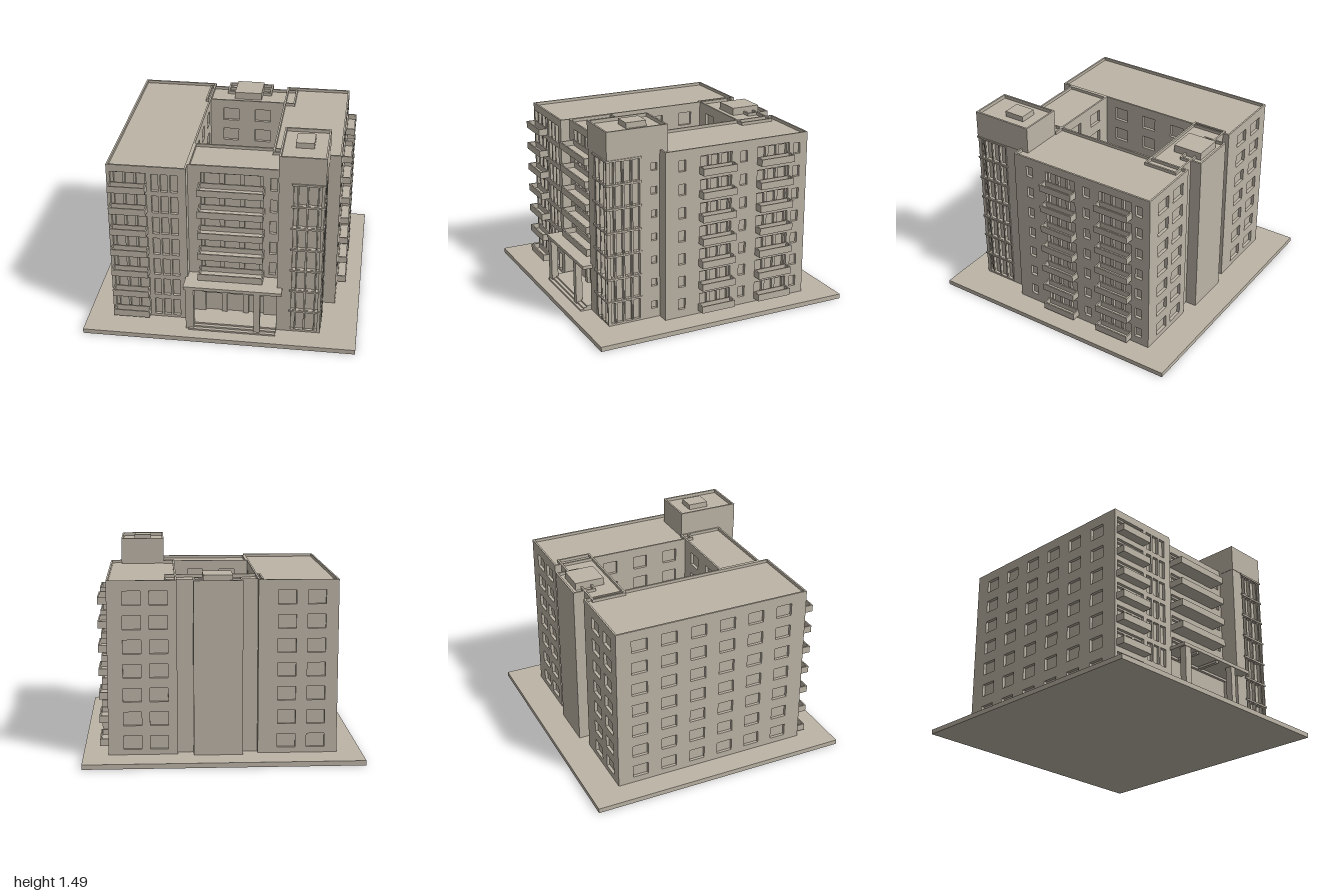
import * as THREE from 'three';

export function createModel() {
  const model = new THREE.Group();
  const stone = new THREE.MeshStandardMaterial({ color: 0xbcb4a6 });
  stone.name = 'warm stone';

  const BASE = 0.035, ROOF = 1.272, TOP = 1.294, STEP = 0.174, LAYER = 0.022;

  const add = (name, geometry, parent = model) => {
    const mesh = new THREE.Mesh(geometry, stone);
    mesh.name = name;
    parent.add(mesh);
    return mesh;
  };
  // Box given by its limits
  const box = (name, x0, x1, y0, y1, z0, z1, parent) => add(name,
    new THREE.BoxGeometry(x1 - x0, y1 - y0, z1 - z0)
      .translate((x0 + x1) / 2, (y0 + y1) / 2, (z0 + z1) / 2), parent);
  const rect = (Type, u0, u1, v0, v1) => new Type().moveTo(u0, v0).lineTo(u1, v0)
    .lineTo(u1, v1).lineTo(u0, v1).closePath();
  // Plate with rectangular holes
  const plate = (u0, u1, v0, v1, holes, depth) => {
    const shape = rect(THREE.Shape, u0, u1, v0, v1);
    shape.holes = holes.map(h => rect(THREE.Path, ...h));
    return new THREE.ExtrudeGeometry(shape, { depth, bevelEnabled: false });
  };
  // Thin upright rim around a rectangle
  const rim = (name, x0, x1, y0, y1, z0, z1, t = 0.013, parent = model) => add(name,
    plate(x0, x1, -z1, -z0, [[x0 + t, x1 - t, -z1 + t, -z0 - t]], y1 - y0)
      .rotateX(-Math.PI / 2).translate(0, y0, 0), parent);
  // Repeat openings on floors first..6; heights are relative to each floor
  const rows = (spans, lo, hi, first = 0) => {
    const holes = [];
    for (let k = first; k < 7; k++) {
      for (const [a, b] of spans) holes.push([a, b, 0.06 + STEP * k + lo, 0.06 + STEP * k + hi]);
    }
    return holes;
  };

  // Building block: solid core wrapped in an outer and an inner wall layer
  const block = (name, x0, x1, z0, z1, walls, top = ROOF) => {
    const group = new THREE.Group();
    group.name = name;
    model.add(group);
    const d = 2 * LAYER;
    box('core', x0 + d, x1 - d, BASE, top, z0 + d, z1 - d, group);
    for (const side of ['front', 'back', 'left', 'right']) {
      const { outer = [], inner = [] } = walls[side] || {};
      [outer, inner].forEach((holes, i) => {
        const s = i * LAYER, along = side === 'front' || side === 'back';
        const g = along ? plate(x0 + s, x1 - s, BASE, top, holes, LAYER)
          : plate(z0 + s, z1 - s, BASE, top, holes, LAYER).rotateY(-Math.PI / 2);
        if (side === 'front') g.translate(0, 0, z1 - s - LAYER);
        if (side === 'back') g.translate(0, 0, z0 + s);
        if (side === 'left') g.translate(x1 - s, 0, 0);
        if (side === 'right') g.translate(x0 + s + LAYER, 0, 0);
        add(side + (i ? 'InnerWall' : 'Wall'), g, group);
      });
    }
    if (top === ROOF) rim('parapet', x0, x1, ROOF, TOP, z0, z1, 0.013, group);
  };

  box('groundSlab', -1, 1, 0, BASE, -0.98, 0.98);

  // Right wing of the building on -x
  const sideWindows = [0, 1, 2, 3, 4, 5].map(i => [-0.635 + i * 0.227, -0.515 + i * 0.227]);
  const courtSide = [[-0.36, -0.25], [-0.11, 0], [0.14, 0.25]];
  block('rightWing', -0.82, -0.25, -0.75, 0.74, {
    front: {
      outer: [...rows([[-0.795, -0.535]], 0, 0.135),
        ...rows([[-0.5, -0.45], [-0.433, -0.38], [-0.363, -0.31]], -0.005, 0.132)],
      inner: rows([[-0.773, -0.708], [-0.69, -0.63], [-0.612, -0.548]], 0.005, 0.122),
    },
    back: { outer: rows([[-0.73, -0.6], [-0.52, -0.39]], 0.015, 0.115) },
    right: { outer: rows(sideWindows, 0.02, 0.115) },
    left: { outer: rows(courtSide, 0.02, 0.12) },
  });

  // Left wing with loggias along its outer side
  const loggias = [[-0.6, -0.335], [-0.125, 0.125]];
  const loggiaDoors = loggias.flatMap(([a, b]) => [0, 1, 2].map(i => {
    const w = (b - a) / 3;
    return [a + i * w + 0.012, a + (i + 1) * w - 0.012];
  }));
  block('leftWing', 0.325, 0.82, -0.75, 0.4, {
    back: { outer: rows([[0.58, 0.71], [0.39, 0.52]], 0.015, 0.115) },
    left: {
      outer: [...rows(loggias, 0, 0.128),
        ...rows([[-0.69, -0.635], [-0.25, -0.195], [0.24, 0.295]], 0.035, 0.117)],
      inner: rows(loggiaDoors, 0.005, 0.115),
    },
    right: { outer: rows(courtSide, 0.02, 0.12) },
  });

  // Blocks linking the wings in front of and behind the courtyard
  const courtEnd = [[-0.15, -0.03], [0.1, 0.22]];
  block('backLink', -0.29, 0.41, -0.7, -0.44, { front: { outer: rows(courtEnd, 0.02, 0.12) } });
  block('frontLink', -0.25, 0.41, 0.33, 0.67, {
    front: {
      outer: [...rows([[-0.157, 0.287]], 0, 0.133, 2), ...rows([[0.34, 0.395]], 0.02, 0.122, 2),
        [-0.13, -0.01, 0.07, 0.23], [0.03, 0.15, 0.07, 0.23], [0.19, 0.3, 0.07, 0.23]],
      inner: rows([[-0.135, -0.025], [0.01, 0.12], [0.155, 0.265]], 0.005, 0.12, 2),
    },
    back: { outer: rows(courtEnd, 0.02, 0.12) },
  });

  // Rear stair shaft and roof housing
  box('stairShaft', -0.14, 0.21, BASE, ROOF, -0.785, -0.61);
  rim('stairParapet', -0.14, 0.21, ROOF, TOP, -0.785, -0.61);
  box('roofHousing', -0.07, 0.14, ROOF, 1.328, -0.74, -0.52);

  // Glazed corner tower
  block('cornerTower', 0.41, 0.73, 0.34, 0.8, {
    front: { outer: rows([[0.515, 0.54], [0.55, 0.605], [0.618, 0.68], [0.69, 0.72]], -0.01, 0.145) },
    left: {
      outer: [...rows([[0.555, 0.605], [0.62, 0.67], [0.685, 0.735], [0.75, 0.787]], -0.01, 0.145),
        ...rows([[0.42, 0.465]], 0.045, 0.1)],
    },
  }, 1.27);
  for (let k = 0; k < 7; k++) {
    const y = 0.208 + STEP * k;
    box('towerBand', 0.5, 0.738, y, y + 0.014, 0.54, 0.81);
    // Slim posts in front of the glazing
    for (const x of [0.545, 0.611, 0.685, 0.725]) box('towerPost', x - 0.005, x + 0.005, y - 0.16, y, 0.78, 0.805);
    for (const z of [0.55, 0.612, 0.677, 0.742]) box('towerPost', 0.71, 0.735, y - 0.16, y, z - 0.005, z + 0.005);
  }
  box('towerCap', 0.408, 0.737, 1.268, 1.445, 0.34, 0.803);
  rim('towerParapet', 0.408, 0.737, 1.445, 1.47, 0.34, 0.803);
  box('towerHatch', 0.505, 0.635, 1.445, 1.486, 0.455, 0.61);

  // Balconies
  const balcony = (x0, x1, z0, z1, y) => {
    const group = new THREE.Group();
    group.name = 'balcony';
    model.add(group);
    box('balconyFloor', x0, x1, y, y + 0.012, z0, z1, group);
    rim('balconyRail', x0, x1, y + 0.012, y + 0.052, z0, z1, 0.01, group);
  };
  for (let k = 0; k < 7; k++) {
    const y = 0.06 + STEP * k;
    balcony(-0.803, -0.533, 0.735, 0.81, y);
    balcony(0.815, 0.888, -0.605, -0.332, y);
    balcony(0.815, 0.888, -0.135, 0.135, y);
    if (k > 1) balcony(-0.17, 0.302, 0.665, 0.785, y);
  }

  // Entrance porch
  box('canopy', -0.265, 0.45, 0.377, 0.402, 0.66, 0.875);
  box('canopyBeam', -0.25, 0.41, 0.36, 0.377, 0.67, 0.69);
  for (const x of [-0.11, 0.105]) box('canopyRib', x - 0.013, x + 0.013, 0.36, 0.377, 0.67, 0.86);
  box('porchPillar', -0.25, -0.19, BASE, 0.377, 0.82, 0.87);
  box('porchPillar', 0.25, 0.295, BASE, 0.377, 0.82, 0.87);
  [0.885, 0.86, 0.835].forEach((z, i) =>
    box('porchStep', -0.23, 0.41, BASE, 0.047 + i * 0.012, 0.66, z));

  return model;
}
